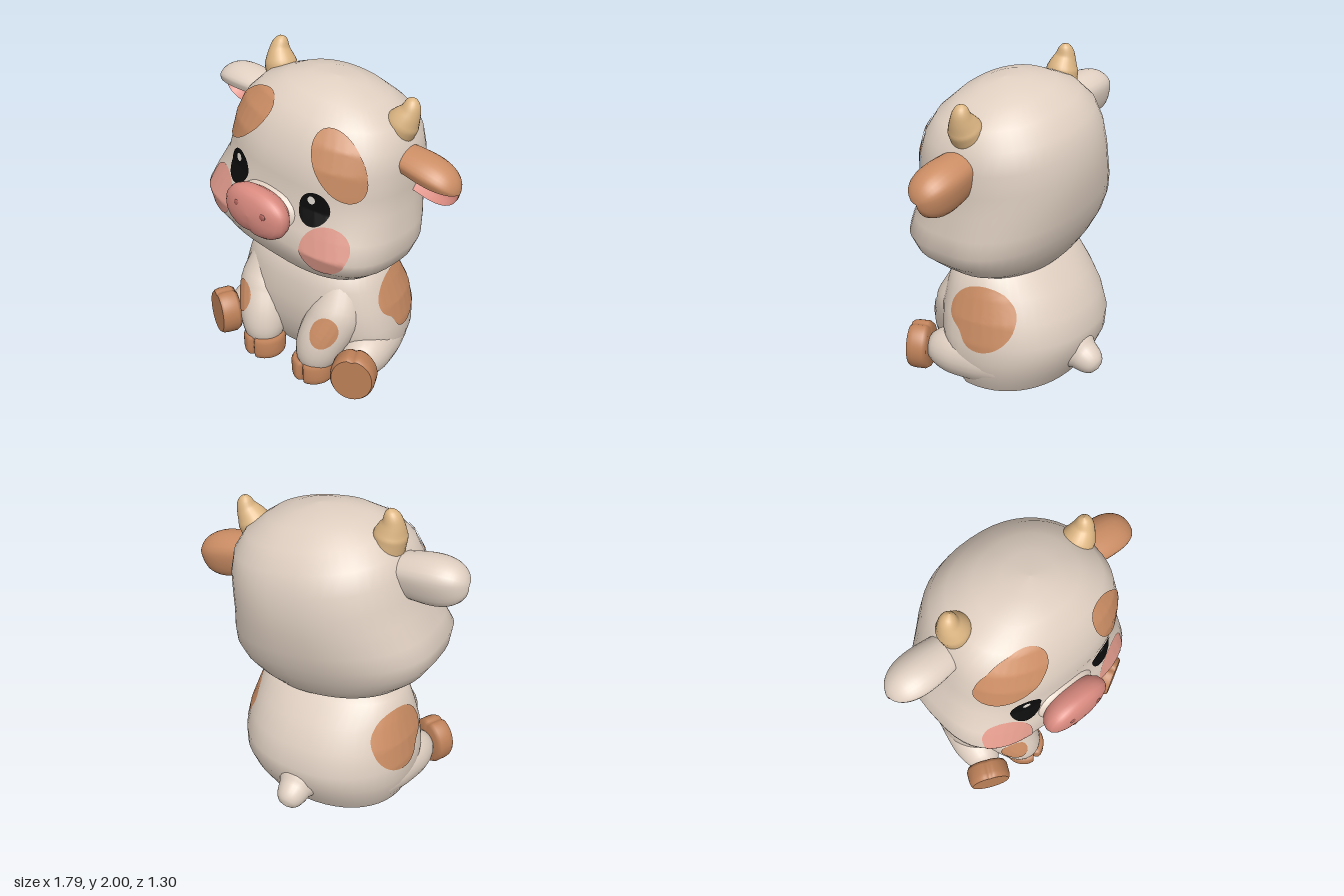
import * as THREE from 'three';

const mat = (name, color) => {
  const m = new THREE.MeshStandardMaterial({ color });
  m.name = name;
  return m;
};

// Grid surface: point = fn(u, v), outward normal = du x dv, optional wrap in u
function surface(fn, nu, nv, closed = true) {
  const pos = [], idx = [], cols = closed ? nu : nu + 1;
  for (let j = 0; j <= nv; j++)
    for (let i = 0; i < cols; i++) pos.push(...fn(i / nu, j / nv));
  for (let j = 0; j < nv; j++)
    for (let i = 0; i < nu; i++) {
      const a = j * cols + i, b = j * cols + (i + 1) % cols;
      idx.push(a, b, b + cols, a, b + cols, a + cols);
    }
  const g = new THREE.BufferGeometry();
  g.setAttribute('position', new THREE.Float32BufferAttribute(pos, 3));
  g.setIndex(idx);
  g.computeVertexNormals();
  return g;
}

function mirrorX(geo) {
  const g = geo.clone().scale(-1, 1, 1), a = g.index.array;
  for (let i = 0; i < a.length; i += 3) [a[i], a[i + 1]] = [a[i + 1], a[i]];
  g.computeVertexNormals();
  return g;
}

const spow = (v, e) => Math.sign(v) * Math.abs(v) ** e;

// Stacked superellipse rings; row = [y, half width, front depth, back depth, front exponent]
function blob(rows, cx) {
  return surface((u, v) => {
    const [y, w, f, b, n] = rows[Math.round(v * (rows.length - 1))];
    const a = u * Math.PI * 2, s = Math.sin(a), c = Math.cos(a), e = 2 / (c > 0 ? n : 2.25);
    return [cx + w * spow(s, e), y, (c > 0 ? f : b) * spow(c, e)];
  }, 48, rows.length - 1);
}

// Round limb along a curve, with a rounded far end
function limb(points, radii) {
  const curve = new THREE.CatmullRomCurve3(points.map(p => new THREE.Vector3(...p)));
  const nv = 20, fr = curve.computeFrenetFrames(nv);
  return surface((u, v) => {
    const k = Math.round(v * nv), t = v * (radii.length - 1), i = Math.min(Math.floor(t), radii.length - 2);
    const r = THREE.MathUtils.lerp(radii[i], radii[i + 1], t - i) * Math.sqrt(1 - v ** 8);
    const a = u * Math.PI * 2;
    return curve.getPoint(v).addScaledVector(fr.normals[k], r * Math.cos(a))
      .addScaledVector(fr.binormals[k], r * Math.sin(a)).toArray();
  }, 24, nv);
}

// Rounded puck along +z with a cleft at one angle; profile = [scale, z]
function puck(profile, rx, ry, cleftAngle, cleft, e = 1) {
  return surface((u, v) => {
    const [s, z] = profile[Math.round(v * (profile.length - 1))];
    const a = u * Math.PI * 2, d = Math.atan2(Math.sin(a - cleftAngle), Math.cos(a - cleftAngle));
    const r = s * (1 - cleft * Math.exp(-((d / 0.13) ** 2)));
    return [rx * r * spow(Math.cos(a), e), ry * r * spow(Math.sin(a), e), z];
  }, 64, profile.length - 1);
}

const hoofProfile = d => [[0, 0], [0.9, 0], [1, 0.025], [1, d - 0.04], [0.97, d - 0.015],
  [0.9, d], [0.9, d], [0, d]];

// Thin painted patch laid onto the target meshes, seen along the direction n
function patch(targets, origin, n, rx, ry, { rot = 0, lift = 0.005, dent = null } = {}) {
  const o = new THREE.Vector3(...origin), dir = new THREE.Vector3(...n).normalize();
  const right = new THREE.Vector3(0, 1, 0).cross(dir).normalize();
  const up = dir.clone().cross(right), back = dir.clone().negate();
  const ray = new THREE.Raycaster();
  return surface((u, v) => {
    const a = u * Math.PI * 2;
    let r = 1 - v;
    if (dent !== null) r *= 1.08 - 0.3 * Math.exp(-(((a - dent) / 0.5) ** 2));
    const x = rx * r * Math.cos(a), y = ry * r * Math.sin(a);
    const p = o.clone().addScaledVector(right, x * Math.cos(rot) - y * Math.sin(rot))
      .addScaledVector(up, x * Math.sin(rot) + y * Math.cos(rot));
    ray.set(p.clone().addScaledVector(dir, 2), back);
    const hit = ray.intersectObjects(targets, false)[0];
    return (hit ? hit.point : p).addScaledVector(dir, lift).toArray();
  }, 48, 14);
}

export function createModel() {
  const cream = mat('cream hide', 0xdfcfc1), tan = mat('tan patch', 0xcb8d64);
  const hoofMat = mat('brown hoof', 0xbd8058), pink = mat('pink skin', 0xd98a7f);
  const blush = mat('blush', 0xe09a8b), hornMat = mat('horn', 0xdcb582);
  const black = mat('eye black', 0x0c0c0c), white = mat('eye shine', 0xf4ece4);
  const rose = mat('nostril', 0xb0645c);

  const model = new THREE.Group();
  const add = (parent, name, geo, material) => {
    const m = new THREE.Mesh(geo, material);
    m.name = name;
    parent.add(m);
    return m;
  };

  // Seated body
  const torso = new THREE.Group();
  torso.name = 'torso';
  torso.position.x = -0.045;
  model.add(torso);
  const solid = [add(torso, 'body', blob([
    [0, 0, 0, 0, 2.3], [0, 0.5, 0.13, 0.42, 2.3], [0, 0.5, 0.13, 0.42, 2.3],
    [0.1, 0.55, 0.24, 0.48, 2.3], [0.23, 0.58, 0.3, 0.54, 2.3], [0.35, 0.575, 0.33, 0.553, 2.4],
    [0.49, 0.55, 0.345, 0.51, 2.4], [0.63, 0.505, 0.33, 0.43, 2.4], [0.76, 0.46, 0.305, 0.32, 2.3],
    [0.86, 0.32, 0.2, 0.22, 2.2], [0.88, 0, 0, 0, 2]], 0), cream)];
  add(torso, 'tail', limb([[0, 0.22, -0.4], [0, 0.165, -0.53], [0, 0.105, -0.64]], [0.19, 0.105, 0.078]), cream);

  // Legs and hooves
  const frontLeg = limb([[0.27, 0.72, 0.1], [0.29, 0.45, 0.2], [0.235, 0.24, 0.305], [0.21, 0.05, 0.335]],
    [0.12, 0.175, 0.155, 0.132]);
  const hindLeg = limb([[0.33, 0.19, -0.3], [0.41, 0.185, -0.04], [0.51, 0.172, 0.32]],
    [0.12, 0.165, 0.172, 0.165, 0.145]);
  for (const s of [1, -1]) {
    solid.push(add(torso, 'frontLeg', s > 0 ? frontLeg : mirrorX(frontLeg), cream));
    solid.push(add(torso, 'hindLeg', s > 0 ? hindLeg : mirrorX(hindLeg), cream));
    const fh = add(torso, 'frontHoof', puck(hoofProfile(0.135), 0.138, 0.135, Math.PI / 2, 0.24), hoofMat);
    fh.rotation.x = Math.PI / 2;
    fh.position.set(s * 0.208, 0.145, 0.335);
    const hh = add(torso, 'hindHoof', puck(hoofProfile(0.13), 0.14, 0.157, Math.PI / 2, 0.1), hoofMat);
    hh.rotation.y = s * 0.45;
    hh.position.set(s * 0.512, 0.172, 0.29);
  }
  // Patches on the legs and flanks
  for (const s of [1, -1]) {
    add(torso, 'legPatch', patch(solid, [s * 0.325, 0.395, 0.36], [s * 0.4, 0.1, 1], 0.085, 0.105,
      { rot: -s * 0.45 }), tan);
    add(torso, 'flankPatch', patch(solid, [s * 0.5, 0.503, -0.117], [s, 0, 0], 0.2, 0.182,
      { rot: -s * 0.2, dent: (s > 0 ? 1.28 : 1.72) * Math.PI }), tan);
  }

  // Tilted head
  const head = new THREE.Group();
  head.name = 'head';
  head.position.set(-0.03, 1.3, 0);
  head.rotation.z = -0.157;
  const skull = add(head, 'skull', blob([
    [-0.585, 0, 0, 0, 2.4], [-0.57, 0.3, 0.24, 0.25, 2.4], [-0.51, 0.46, 0.36, 0.33, 2.6],
    [-0.44, 0.565, 0.435, 0.38, 2.9], [-0.35, 0.645, 0.49, 0.43, 3.2], [-0.25, 0.672, 0.515, 0.47, 3.3],
    [-0.14, 0.65, 0.49, 0.5, 2.9], [0, 0.61, 0.455, 0.52, 2.5], [0.12, 0.59, 0.46, 0.527, 2.45],
    [0.25, 0.575, 0.44, 0.515, 2.45], [0.37, 0.54, 0.39, 0.475, 2.45], [0.47, 0.46, 0.325, 0.39, 2.45],
    [0.55, 0.31, 0.23, 0.28, 2.3], [0.59, 0.16, 0.12, 0.15, 2.1], [0.602, 0, 0, 0, 2]], 0.015), cream);

  // Ear cross-section [z, y], from the back flap over the top to the front lip
  const earSection = new THREE.CatmullRomCurve3([[-0.06, -0.155], [-0.125, -0.13], [-0.165, -0.03], [-0.165, 0.07],
    [-0.08, 0.14], [0.025, 0.13], [0.09, 0.07], [0.08, 0.015]].map(([z, y]) => new THREE.Vector3(0, y, z)));
  const earPoint = (u, v, inset) => {
    const p = earSection.getPoint(u), k = 1 - inset * Math.sin(Math.PI * u);
    const s = (0.8 + 0.45 * v) * Math.sqrt(Math.max(0, 1 - v ** 3));
    return [0.48 + 0.425 * v, 0.245 - 0.03 * v + p.y * k * s, -0.05 + (p.z + 0.045) * k * s * 1.06];
  };
  const earOuter = surface((u, v) => earPoint(u, 1 - (1 - v) ** 1.6, 0), 24, 18, false);
  const earInner = surface((u, v) => earPoint(1 - u, 1 - (1 - v) ** 1.6, 0.32), 24, 18, false);
  const horn = limb([[0.435, 0.4, -0.06], [0.465, 0.48, -0.06], [0.49, 0.56, -0.07], [0.482, 0.636, -0.08]],
    [0.1, 0.098, 0.062, 0.042]);

  for (const s of [1, -1]) {
    const side = g => (s > 0 ? g : mirrorX(g));
    add(head, 'horn', side(horn), hornMat);
    add(head, 'earOuter', side(earOuter), s > 0 ? tan : cream);
    add(head, 'earInner', side(earInner), pink);

    // Painted face details
    const front = [0, 0, 1];
    add(head, 'browPatch', patch([skull], [s * 0.37, s > 0 ? 0.3 : 0.33, 0.38], [s * 0.3, 0.3, 1],
      s > 0 ? 0.225 : 0.242, s > 0 ? 0.135 : 0.148, { rot: -s * (s > 0 ? 0.88 : 0.74), lift: 0.008 }), tan);
    add(head, 'cheek', patch([skull], [s * 0.415, -0.21, 0.4], front, 0.14, 0.147), blush);
    add(head, 'eye', patch([skull], [s * 0.294, 0.012, 0.4], front, 0.092, 0.104, { lift: 0.006 }), black);
    add(head, 'eyeShine', patch([skull], [s * 0.287 - 0.014, 0.064, 0.4], front, 0.023, 0.025,
      { lift: 0.009 }), white);

    const nostril = add(head, 'nostril', new THREE.SphereGeometry(0.023, 16, 10), rose);
    nostril.scale.set(1, 0.85, 0.35);
    nostril.position.set(s * 0.098 - 0.008, -0.066, 0.632);
  }

  // Snout bulge, muzzle and lower lip
  const snout = add(head, 'snout', new THREE.SphereGeometry(1, 32, 20), cream);
  snout.scale.set(0.24, 0.15, 0.13);
  snout.position.set(-0.01, -0.12, 0.41);
  const muzzle = add(head, 'muzzle', puck([[0.6, 0.45], [0.8, 0.485], [0.95, 0.52], [1, 0.56], [0.96, 0.59],
    [0.85, 0.612], [0.65, 0.629], [0.35, 0.641], [0, 0.645]], 0.227, 0.147, -Math.PI / 2, 0.08, 0.88), pink);
  muzzle.position.set(-0.012, -0.104, 0);
  const lip = add(head, 'lowerLip', new THREE.SphereGeometry(0.075, 20, 12), pink);
  lip.scale.set(1, 0.4, 0.8);
  lip.position.set(-0.01, -0.235, 0.52);

  model.add(head);
  return model;
}
